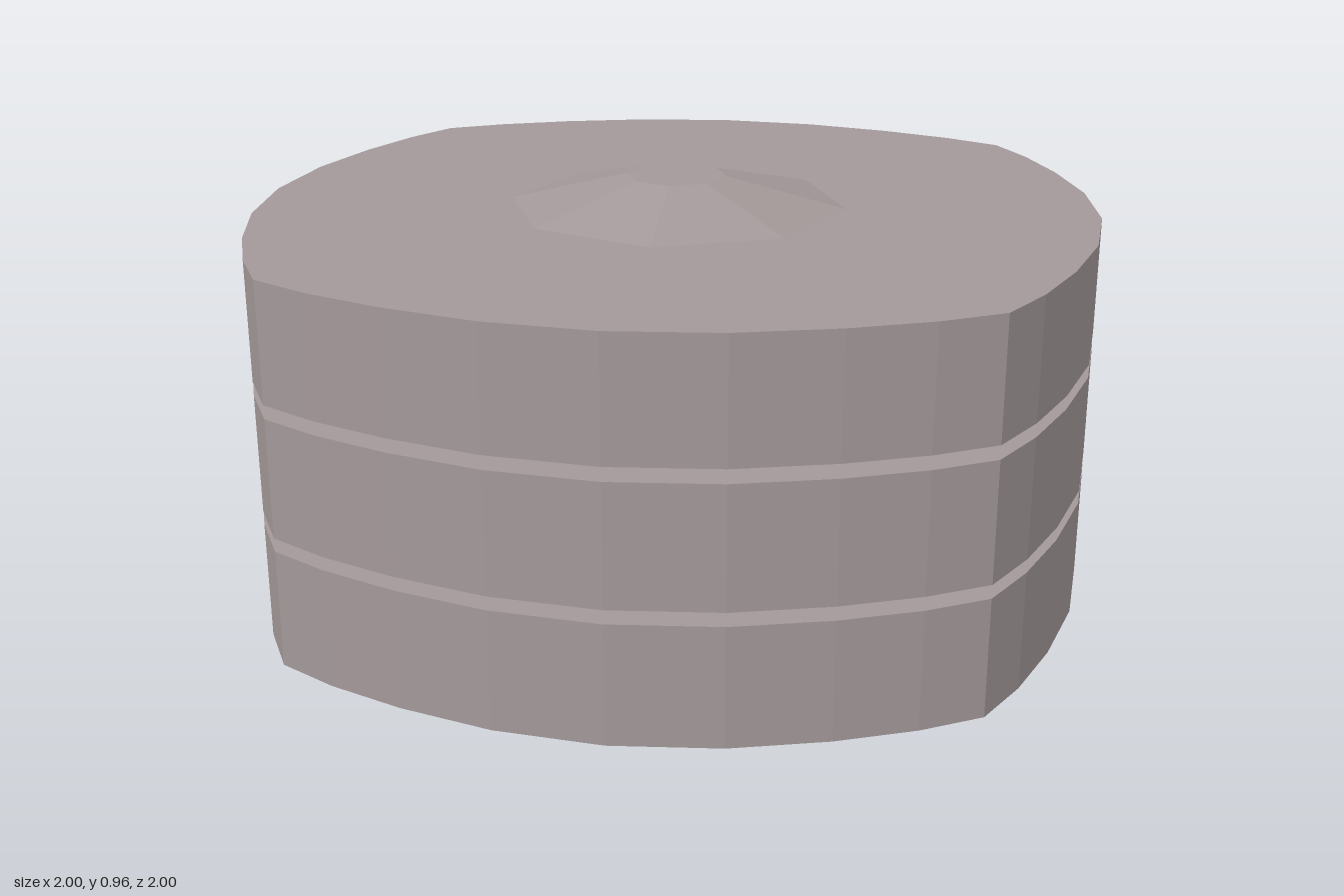
import * as THREE from 'three';

const LAYERS = 3, PITCH = 0.3085, SLAB = 0.277, DOME = 0.07;

// One bowed side, from its corner up to (not including) the next corner
const SIDE = [[0.77, -0.77], [0.845, -0.635], [0.915, -0.46], [0.975, -0.245], [1, 0],
  [0.975, 0.245], [0.915, 0.46], [0.845, 0.635]];

// Rounded-square outline: the bowed side turned four times
function outline() {
  const points = [];
  for (let i = 0; i < 4; i++) {
    for (const [x, y] of SIDE) {
      points.push(new THREE.Vector2(x, y).rotateAround(new THREE.Vector2(), i * Math.PI / 2));
    }
  }
  return new THREE.Shape(points);
}

export function createModel() {
  const model = new THREE.Group();
  model.name = 'stackedSlabs';
  const stone = new THREE.MeshStandardMaterial({ color: 0xa39899, flatShading: true });
  stone.name = 'warm grey';

  const slabGeometry = new THREE.ExtrudeGeometry(outline(), { depth: SLAB, bevelEnabled: false });
  slabGeometry.rotateX(-Math.PI / 2);
  const domeGeometry = new THREE.CylinderGeometry(0.12, 0.405, DOME, 8);

  // Identical layers, each a slab with a low octagonal stud on top
  for (let i = 0; i < LAYERS; i++) {
    const layer = new THREE.Group();
    layer.name = `layer${i + 1}`;
    layer.position.y = i * PITCH;

    const slab = new THREE.Mesh(slabGeometry, stone);
    slab.name = 'slab';
    const stud = new THREE.Mesh(domeGeometry, stone);
    stud.name = 'stud';
    stud.position.y = SLAB + DOME / 2;

    layer.add(slab, stud);
    model.add(layer);
  }
  return model;
}
